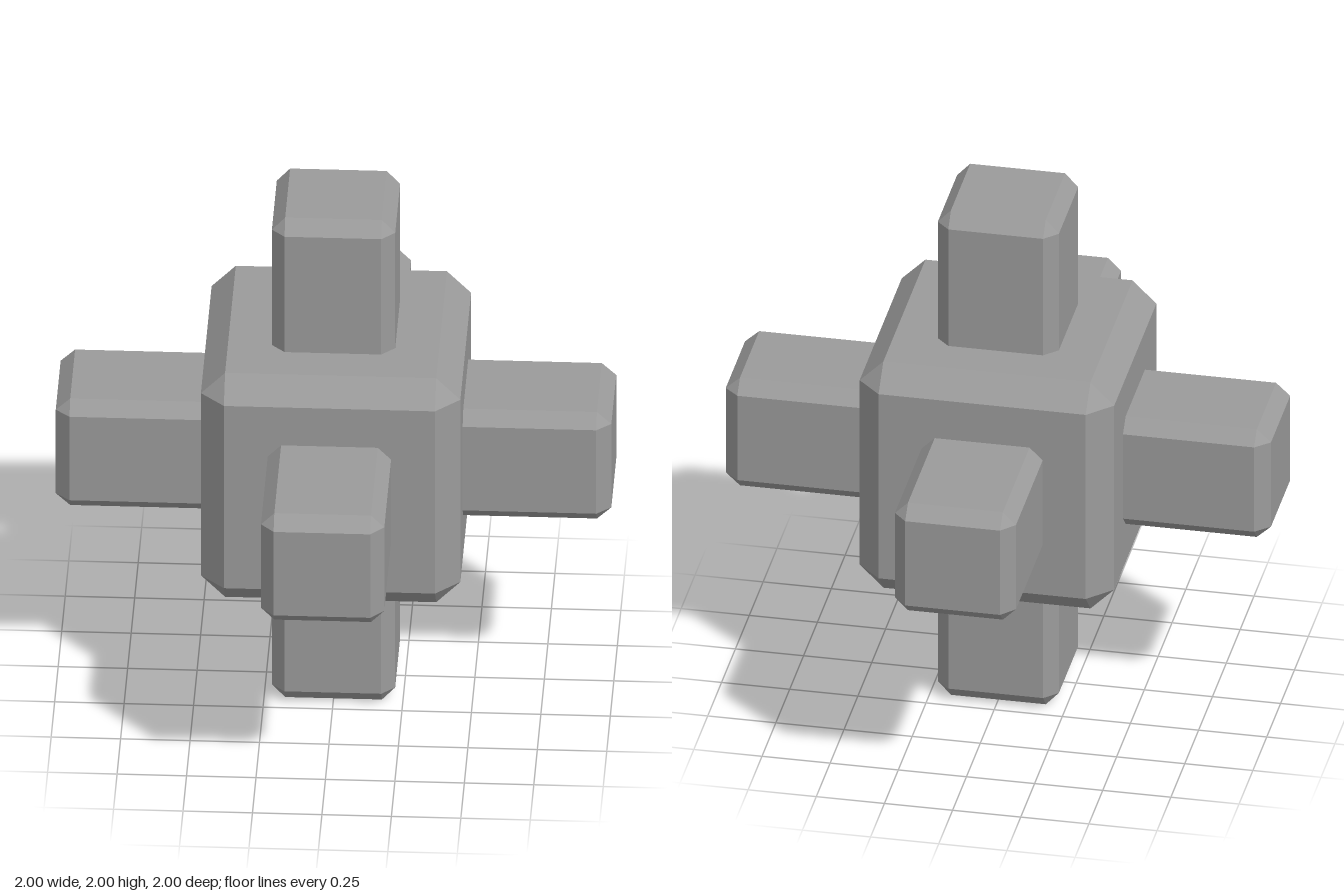
import * as THREE from 'three';
import { ConvexGeometry } from 'three/addons/geometries/ConvexGeometry.js';

// Box with flat chamfered edges and triangular corners, given half sizes and the bevel along each axis
function chamferedBox([hx, hy, hz], [bx, by, bz]) {
  const points = [];
  for (const sx of [-1, 1]) for (const sy of [-1, 1]) for (const sz of [-1, 1]) {
    points.push(
      new THREE.Vector3(sx * hx, sy * (hy - by), sz * (hz - bz)),
      new THREE.Vector3(sx * (hx - bx), sy * hy, sz * (hz - bz)),
      new THREE.Vector3(sx * (hx - bx), sy * (hy - by), sz * hz)
    );
  }
  return new ConvexGeometry(points);
}

export function createModel() {
  const group = new THREE.Group();
  group.name = 'sixArmedBlock';
  const material = new THREE.MeshStandardMaterial({ color: 0x9b9b9b, flatShading: true });

  const add = (name, halfSizes, bevels) => {
    const mesh = new THREE.Mesh(chamferedBox(halfSizes, bevels), material);
    mesh.name = name;
    mesh.position.y = 1;
    group.add(mesh);
  };

  // Central cube
  add('core', [0.467, 0.467, 0.467], [0.087, 0.087, 0.087]);

  // Three bars crossing through the core, each forming two opposite arms
  ['sideArms', 'verticalArms', 'frontBackArms'].forEach((name, axis) => {
    const halfSizes = [0.222, 0.222, 0.222];
    const bevels = [0.048, 0.048, 0.048];
    halfSizes[axis] = 1;
    bevels[axis] = 0.052;
    add(name, halfSizes, bevels);
  });

  return group;
}
